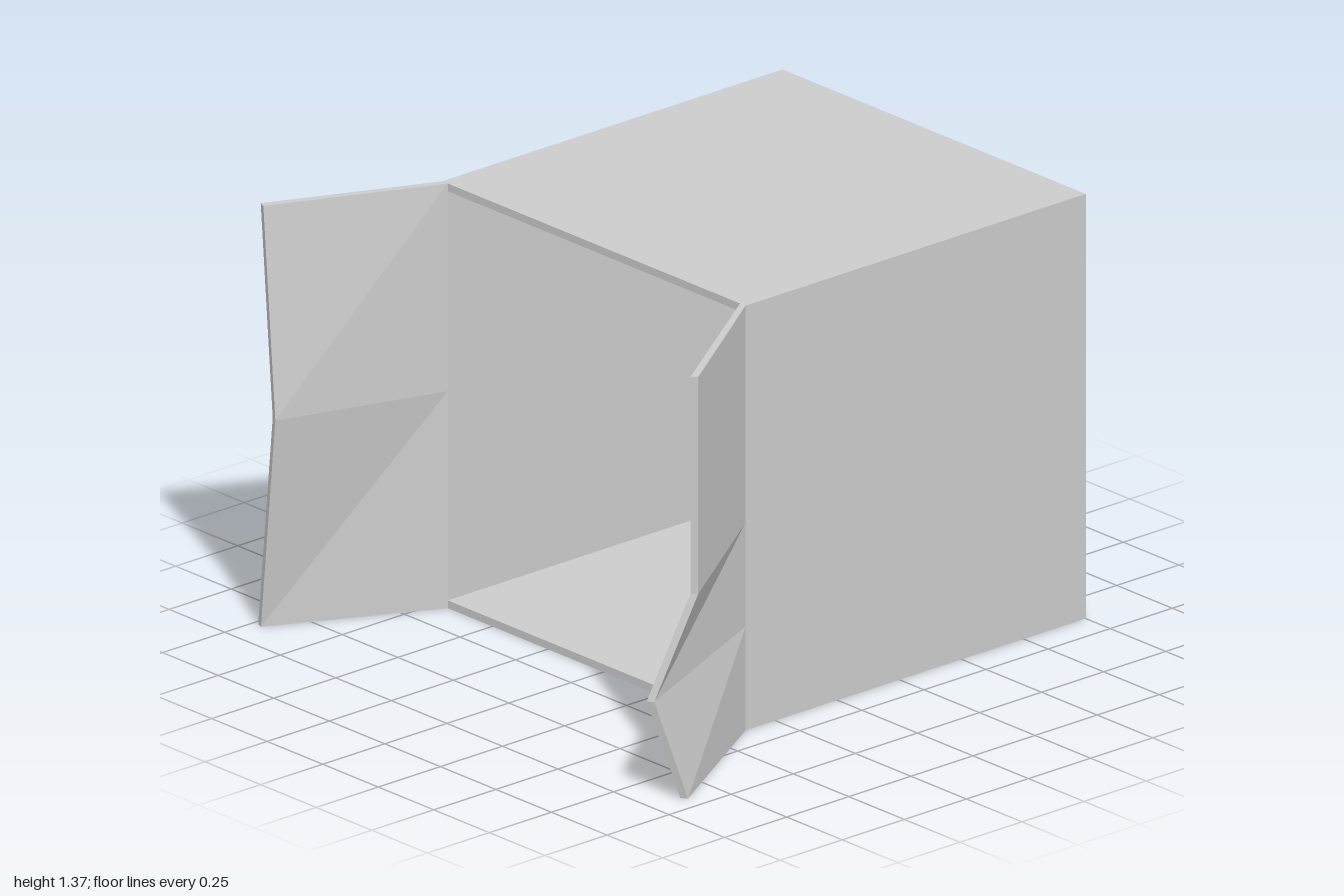
import * as THREE from 'three';

const material = new THREE.MeshStandardMaterial({ color: 0xcccccc, flatShading: true });

// Box extents and wall thickness
const X0 = -0.725, X1 = 0.64, H = 1.37, Z0 = -1, Z1 = 0.37, WALL = 0.025;

function addMesh(parent, name, geometry) {
  const mesh = new THREE.Mesh(geometry, material);
  mesh.name = name;
  parent.add(mesh);
  return mesh;
}

function rectangle(PathType, x0, y0, x1, y1) {
  return new PathType([[x0, y0], [x1, y0], [x1, y1], [x0, y1]].map(([x, y]) => new THREE.Vector2(x, y)));
}

// Bent door panel: each row is [y, outer tip x, outer tip z]; side is +1 (left) or -1 (right)
function doorGeometry(side, hingeX, rows, offset) {
  const sections = rows.map(([y, x, z]) => ({
    ho: [hingeX, y, Z1],
    hi: [hingeX - side * WALL, y, Z1],
    to: [x, y, z],
    ti: [x + offset[0], y, z + offset[1]],
  }));
  const positions = [];
  const triangle = (a, b, c) => positions.push(...(side > 0 ? [a, b, c] : [c, b, a]).flat());
  const quad = (a, b, c, d) => { triangle(a, b, c); triangle(a, c, d); };

  for (let i = 0; i < sections.length - 1; i++) {
    const s = sections[i], t = sections[i + 1];
    quad(s.to, s.ho, t.ho, t.to); // outer face
    quad(s.ti, t.ti, t.hi, s.hi); // inner face
    quad(s.ti, s.to, t.to, t.ti); // free edge
    quad(s.ho, s.hi, t.hi, t.ho); // hinge edge
  }
  const first = sections[0], last = sections[sections.length - 1];
  quad(first.hi, first.ho, first.to, first.ti); // bottom edge
  quad(last.ti, last.to, last.ho, last.hi); // top edge

  const geometry = new THREE.BufferGeometry();
  geometry.setAttribute('position', new THREE.Float32BufferAttribute(positions, 3));
  geometry.computeVertexNormals();
  return geometry;
}

export function createModel() {
  const model = new THREE.Group();
  model.name = 'openBox';

  // Four walls as one square tube, open towards the front
  const outline = rectangle(THREE.Shape, X0, 0, X1, H);
  outline.holes.push(rectangle(THREE.Path, X0 + WALL, WALL, X1 - WALL, H - WALL));
  const walls = new THREE.ExtrudeGeometry(outline, { depth: Z1 - Z0, bevelEnabled: false });
  walls.translate(0, 0, Z0);
  addMesh(model, 'walls', walls);

  // Back panel set inside the tube
  const back = addMesh(model, 'backPanel',
    new THREE.BoxGeometry(X1 - X0 - 2 * WALL, H - 2 * WALL, WALL));
  back.position.set((X0 + X1) / 2, H / 2, Z0 + WALL / 2);

  // Doors swung open, each dented along its free edge
  addMesh(model, 'rightDoor', doorGeometry(-1, X0,
    [[0, -0.983, 0.88], [0.7, -0.89, 0.905], [H, -0.955, 0.895]], [0.023, 0.01]));
  addMesh(model, 'leftDoor', doorGeometry(1, X1,
    [[0, 0.94, 0.87], [0.335, 0.917, 0.985], [0.67, 0.98, 0.865], [H, 0.98, 0.865]], [-0.018, 0.015]));

  return model;
}
